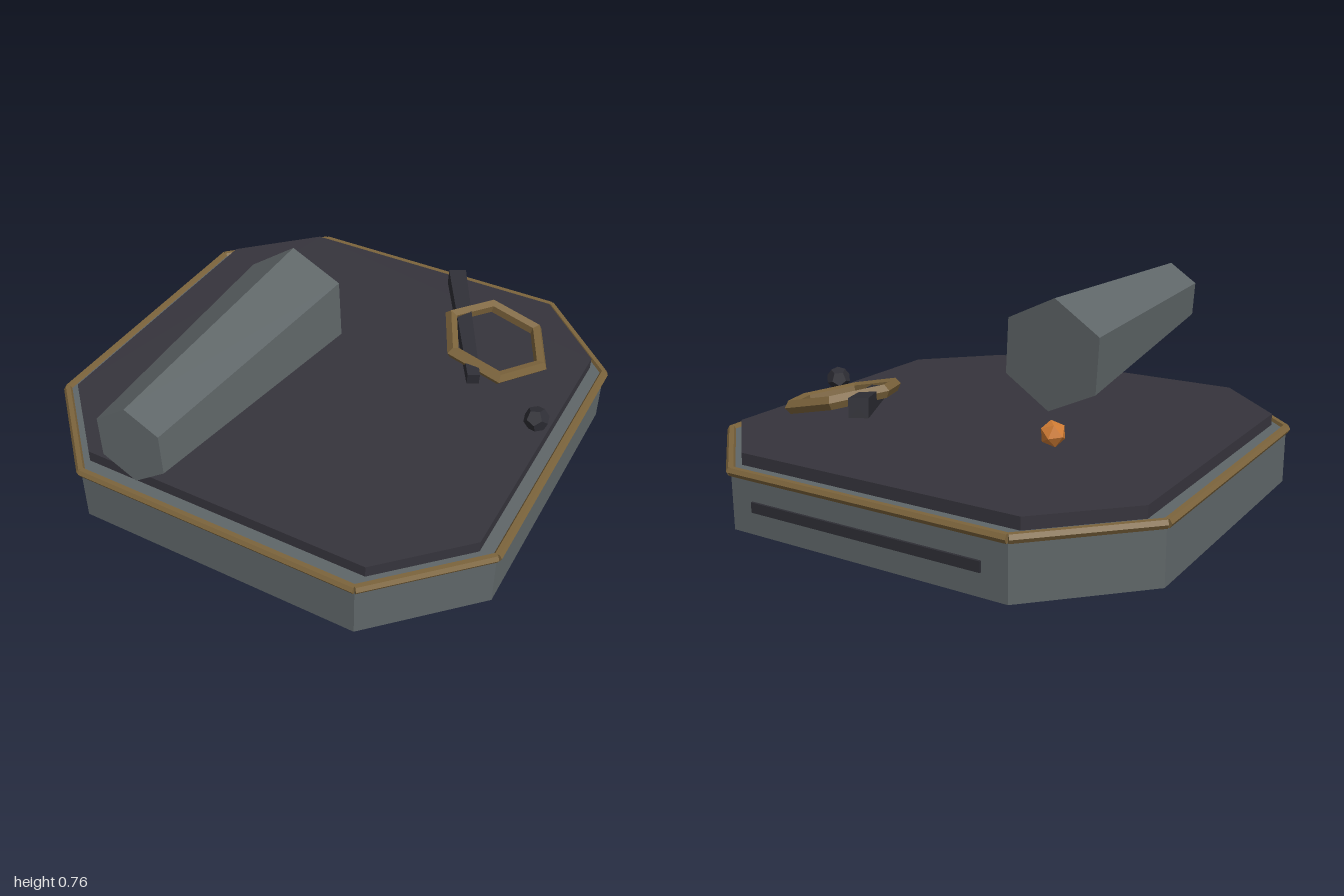
import * as THREE from 'three';

const mat = (name, color) => {
  const m = new THREE.MeshStandardMaterial({ color, flatShading: true });
  m.name = name;
  return m;
};

export function createModel() {
  const stone = mat('slate grey', 0x5f6668);
  const slate = mat('dark slab', 0x36343c);
  const charcoal = mat('charcoal', 0x2e2e35);
  const brass = mat('aged brass', 0x7c643c);
  const orange = mat('ember orange', 0xd07c34);

  const model = new THREE.Group();
  model.name = 'tableModel';
  const add = (name, geometry, material, parent = model) => {
    const mesh = new THREE.Mesh(geometry, material);
    mesh.name = name;
    parent.add(mesh);
    return mesh;
  };

  // Tapered prism from point a (radius ra) to point b (radius rb)
  const prism = (name, a, b, ra, rb, sides, twist, material, parent) => {
    const from = new THREE.Vector3(...a), to = new THREE.Vector3(...b);
    const dir = to.clone().sub(from), length = dir.length();
    const z = dir.normalize();
    const x = new THREE.Vector3(0, 1, 0).cross(z).normalize();
    const y = z.clone().cross(x);
    const g = new THREE.CylinderGeometry(rb, ra, length, sides, 1);
    g.rotateX(Math.PI / 2); // axis to +z
    g.rotateZ(twist);
    const mesh = add(name, g, material, parent);
    mesh.quaternion.setFromRotationMatrix(new THREE.Matrix4().makeBasis(x, y, z));
    mesh.position.copy(from).add(to).multiplyScalar(0.5);
    return mesh;
  };

  // Chamfered square plates, centred a little behind the origin
  const cz = -0.056;
  const octagon = (half, flat) => [
    [flat, half], [half, flat], [half, -flat], [flat, -half],
    [-flat, -half], [-half, -flat], [-half, flat], [-flat, half],
  ];
  const plate = (name, half, flat, y0, y1, material) => {
    const shape = new THREE.Shape(octagon(half, flat).map(p => new THREE.Vector2(...p)));
    const g = new THREE.ExtrudeGeometry(shape, { depth: y1 - y0, bevelEnabled: false });
    g.rotateX(-Math.PI / 2);
    add(name, g, material).position.set(0, y0, cz);
  };
  plate('base', 0.918, 0.565, 0, 0.22, stone);
  plate('topSlab', 0.857, 0.572, 0.22, 0.265, slate);

  // Brass rods along the upper edge of the base
  const trim = new THREE.Group();
  trim.name = 'edgeTrim';
  model.add(trim);
  const rim = octagon(0.918, 0.565);
  rim.forEach(([x, z], i) => {
    const [x2, z2] = rim[(i + 1) % 8];
    prism('trimRod', [x, 0.216, z + cz], [x2, 0.216, z2 + cz], 0.0175, 0.0175, 6, Math.PI / 6 + Math.PI / 3, brass, trim);
  });

  // Slot strip on the back
  add('backSlot', new THREE.BoxGeometry(0.94, 0.038, 0.016), charcoal).position.set(0, 0.104, -0.975);

  // Large tapered hexagonal column lying over the front
  prism('taperedColumn', [-0.198, 0.538, -0.077], [-0.195, 0.606, 0.986], 0.223, 0.142, 6, 0.09, stone);

  // Tilted hexagonal ring
  const ringGeometry = new THREE.TorusGeometry(0.205, 0.027, 5, 6);
  ringGeometry.rotateX(-Math.PI / 2);
  ringGeometry.rotateY(-0.05);
  const ring = add('ring', ringGeometry, brass);
  ring.rotation.set(0.04, 0, -0.23);
  ring.position.set(0.512, 0.365, -0.425);

  // Tapered bar leaning through the ring
  prism('bar', [0.222, 0.425, -0.69], [0.52, 0.335, -0.19], 0.05, 0.034, 4, Math.PI / 4, charcoal);

  // Small faceted stones
  const ember = add('orangeStone', new THREE.IcosahedronGeometry(0.049), orange);
  ember.position.set(-0.354, 0.332, -0.335);
  ember.rotation.set(0.4, 0.3, 0.2);
  const pebble = add('darkStone', new THREE.DodecahedronGeometry(0.049), charcoal);
  pebble.position.set(0.812, 0.32, -0.106);
  pebble.rotation.set(0.3, 0.2, 0.1);

  return model;
}
